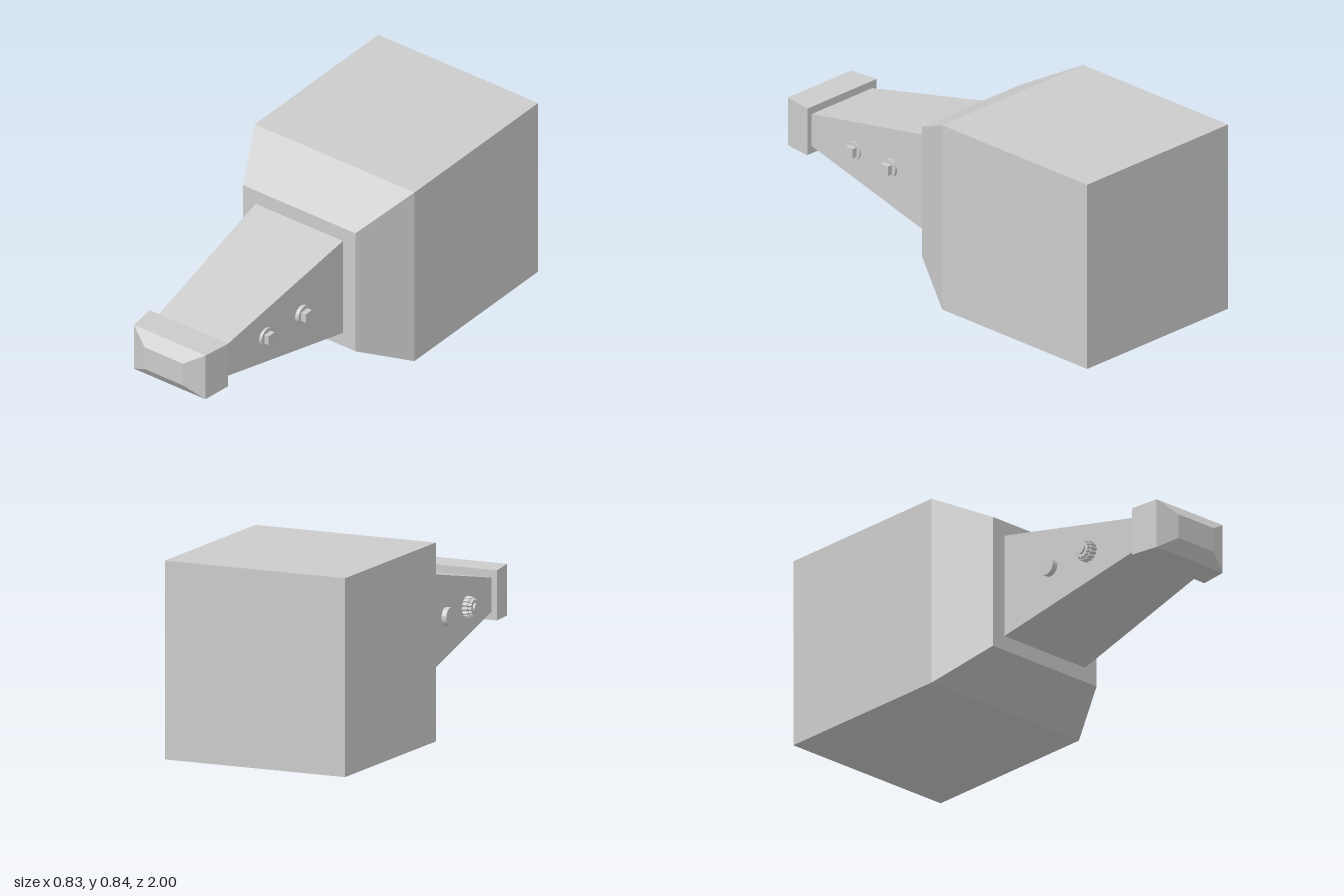
import * as THREE from 'three';

const MID = 0.42; // height of the long axis

export function createModel() {
  const model = new THREE.Group();
  const material = new THREE.MeshStandardMaterial({ color: 0xcccccc, flatShading: true });

  function add(name, geometry, x = 0, y = MID, z = 0) {
    const mesh = new THREE.Mesh(geometry, material);
    mesh.name = name;
    mesh.position.set(x, y, z);
    model.add(mesh);
    return mesh;
  }

  // Rectangular block along z, with separate half width and height at each end
  function taper(z0, [w0, h0], z1, [w1, h1]) {
    const geometry = new THREE.BoxGeometry(2, 2, 2);
    const p = geometry.attributes.position;
    for (let i = 0; i < p.count; i++) {
      const front = p.getZ(i) > 0;
      p.setXYZ(i, p.getX(i) * (front ? w1 : w0), p.getY(i) * (front ? h1 : h0), front ? z1 : z0);
    }
    geometry.computeVertexNormals();
    return geometry;
  }

  // Toothed wheel, extruded along z
  function toothedWheel(radius, depth, teeth) {
    const shape = new THREE.Shape();
    for (let i = 0; i < teeth * 4; i++) {
      const r = i % 4 < 2 ? radius : radius * 0.85;
      const a = (i / (teeth * 4)) * Math.PI * 2;
      shape[i ? 'lineTo' : 'moveTo'](r * Math.cos(a), r * Math.sin(a));
    }
    return new THREE.ExtrudeGeometry(shape, { depth, bevelEnabled: false });
  }

  // Disc lying against a side wall
  function disc(name, x0, x1, radius, z) {
    const geometry = new THREE.CylinderGeometry(radius, radius, Math.abs(x1 - x0), 24);
    add(name, geometry.rotateZ(Math.PI / 2), (x0 + x1) / 2, MID, z);
  }

  // Housing and its shoulder
  add('housing', taper(-1, [0.417, 0.42], -0.16, [0.417, 0.42]));
  add('shoulder', taper(-0.16, [0.417, 0.42], 0.08, [0.293, 0.294]));

  // Tapered neck and bevelled tip
  add('neck', taper(0.08, [0.228, 0.229], 0.84, [0.178, 0.071]));
  add('tipCollar', taper(0.83, [0.205, 0.106], 0.96, [0.187, 0.109]));
  add('tipBevel', taper(0.96, [0.187, 0.109], 1, [0.1, 0.054]));

  // Left side: two discs with square pegs
  for (const [z, face, end] of [[0.34, 0.226, 0.25], [0.565, 0.207, 0.228]]) {
    disc('pegDisc', face - 0.03, face, 0.04, z);
    add('squarePeg', new THREE.BoxGeometry(end - face + 0.02, 0.042, 0.042), (end + face - 0.02) / 2, MID, z);
  }

  // Right side: plain button and toothed knob
  disc('button', -0.2, -0.235, 0.04, 0.34);
  const steps = [[0.045, 0.19, 0.224], [0.038, 0.22, 0.238]];
  for (const [radius, inner, outer] of steps) {
    add('toothedKnob', toothedWheel(radius, outer - inner, 14).rotateY(-Math.PI / 2), -inner, MID, 0.56);
  }
  disc('knobHub', -0.23, -0.247, 0.02, 0.56);

  return model;
}
